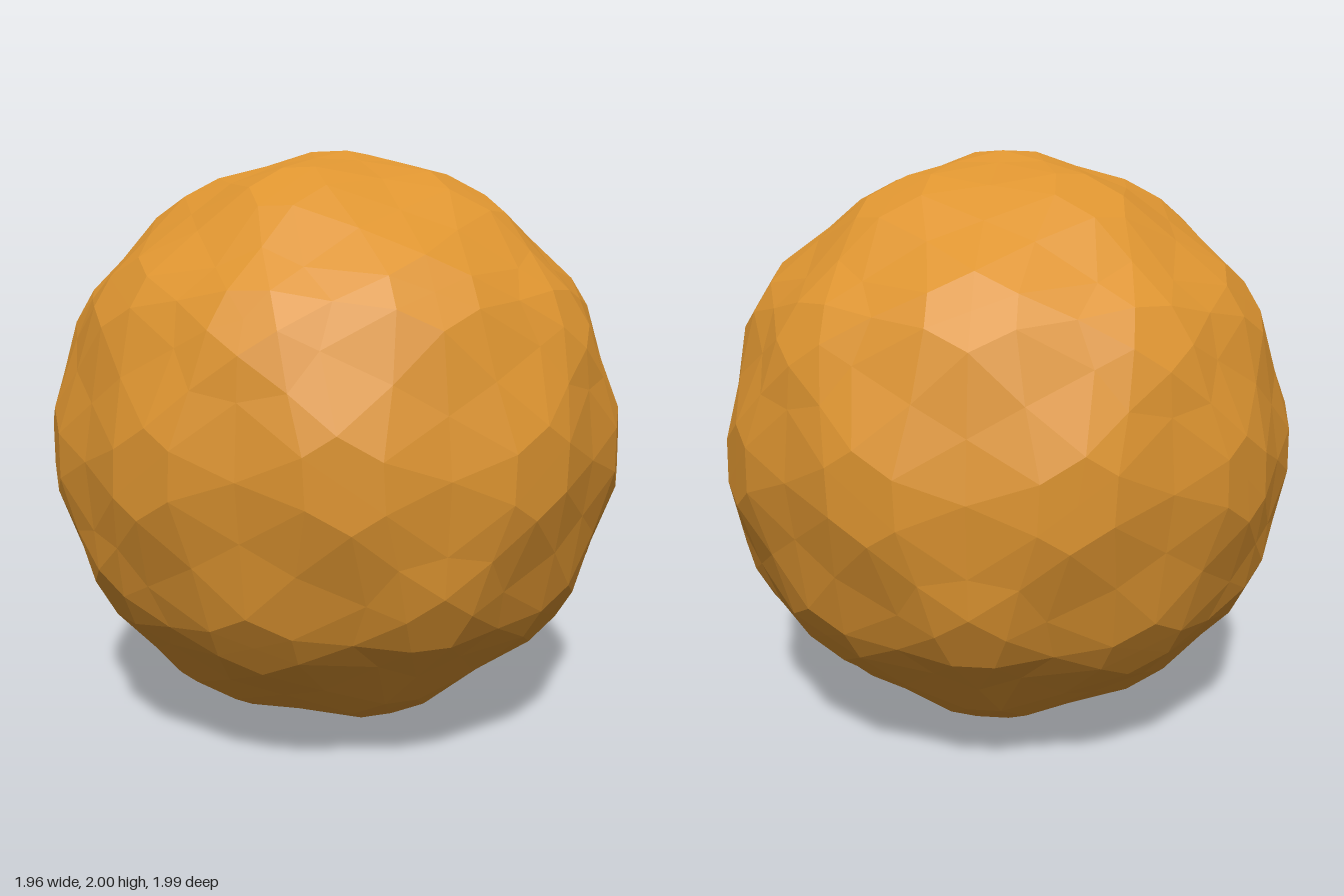
import * as THREE from 'three';

// Faceted ball: 12 small pentagons and 150 hexagons laid out on an icosahedron
// whose faces are divided in four, with one corner standing straight up.

// Facet corners as weights of the three icosahedron corners, largest first,
// keyed by the largest share (in twelfths) of the corner's place in the face.
const CORNERS = {
  10: [0.932, 0.076, 0.076],
  8: [0.811, 0.159, 0.159],
  7: [0.685, 0.441, 0.065],
  5: [0.537, 0.537, 0.148],
  4: [0.405, 0.405, 0.405],
};

function icosahedronCorners() {
  const pts = [new THREE.Vector3(0, 1, 0)];
  const h = 1 / Math.sqrt(5);
  for (let k = 0; k < 5; k++) {
    const a = (k * Math.PI * 2) / 5;
    pts.push(new THREE.Vector3(2 * h * Math.cos(a), h, 2 * h * Math.sin(a)));
  }
  return pts.concat(pts.map((p) => p.clone().negate()));
}

const blend = (tri, w) => {
  const p = new THREE.Vector3();
  tri.forEach((t, i) => p.addScaledVector(t, w[i]));
  return p;
};

// Distance of a facet's middle from the ball's centre
function facetHeight(w) {
  const top = Math.max(...w);
  if (top === 4) return 1;
  if (top === 3) return 0.99;
  return Math.min(...w) === 0 ? 0.9925 : 0.977;
}

function buildFacets() {
  const facets = new Map();
  const addCorner = (tri, cells) => {
    // the shared corner of three neighbouring facets
    const share = [0, 1, 2].map((i) => cells[0][i] + cells[1][i] + cells[2][i]);
    const order = [0, 1, 2].sort((a, b) => share[b] - share[a]);
    const weights = [0, 0, 0];
    order.forEach((axis, rank) => { weights[axis] = CORNERS[share[order[0]]][rank]; });
    const corner = blend(tri, weights);
    for (const w of cells) {
      const middle = blend(tri, w).normalize();
      const key = middle.toArray().map((v) => Math.round(v * 1000) + 0).join();
      if (!facets.has(key)) {
        facets.set(key, { normal: middle, height: facetHeight(w), corners: [] });
      }
      facets.get(key).corners.push(corner);
    }
  };

  const pts = icosahedronCorners();
  const near = (a, b) => a.distanceTo(b) < 1.1;
  for (let a = 0; a < 12; a++) {
    for (let b = a + 1; b < 12; b++) {
      for (let c = b + 1; c < 12; c++) {
        const tri = [pts[a], pts[b], pts[c]];
        if (!near(tri[0], tri[1]) || !near(tri[1], tri[2]) || !near(tri[0], tri[2])) continue;
        for (let i = 0; i < 4; i++) {
          for (let j = 0; i + j < 4; j++) {
            const k = 3 - i - j;
            addCorner(tri, [[i + 1, j, k], [i, j + 1, k], [i, j, k + 1]]);
            if (k > 0) {
              addCorner(tri, [[i + 1, j + 1, k - 1], [i + 1, j, k], [i, j + 1, k]]);
            }
          }
        }
      }
    }
  }
  return [...facets.values()];
}

function ballGeometry() {
  const positions = [];
  for (const { normal, height, corners } of buildFacets()) {
    // order the corners anticlockwise about the facet's normal
    const u = corners[0].clone().projectOnPlane(normal).normalize();
    const v = normal.clone().cross(u);
    const angle = (p) => Math.atan2(p.dot(v), p.dot(u));
    const ring = [...corners].sort((p, q) => angle(p) - angle(q));
    const middle = normal.clone().multiplyScalar(height);
    ring.forEach((p, i) => {
      const q = ring[(i + 1) % ring.length];
      positions.push(...middle.toArray(), ...p.toArray(), ...q.toArray());
    });
  }
  const geometry = new THREE.BufferGeometry();
  geometry.setAttribute('position', new THREE.Float32BufferAttribute(positions, 3));
  geometry.computeVertexNormals(); // unshared corners give flat facets
  return geometry;
}

export function createModel() {
  const group = new THREE.Group();
  group.name = 'facetedBall';
  const amber = new THREE.MeshStandardMaterial({ color: 0xdd9430 });
  amber.name = 'amber';
  const ball = new THREE.Mesh(ballGeometry(), amber);
  ball.name = 'ball';
  ball.position.y = 1;
  group.add(ball);
  return group;
}
